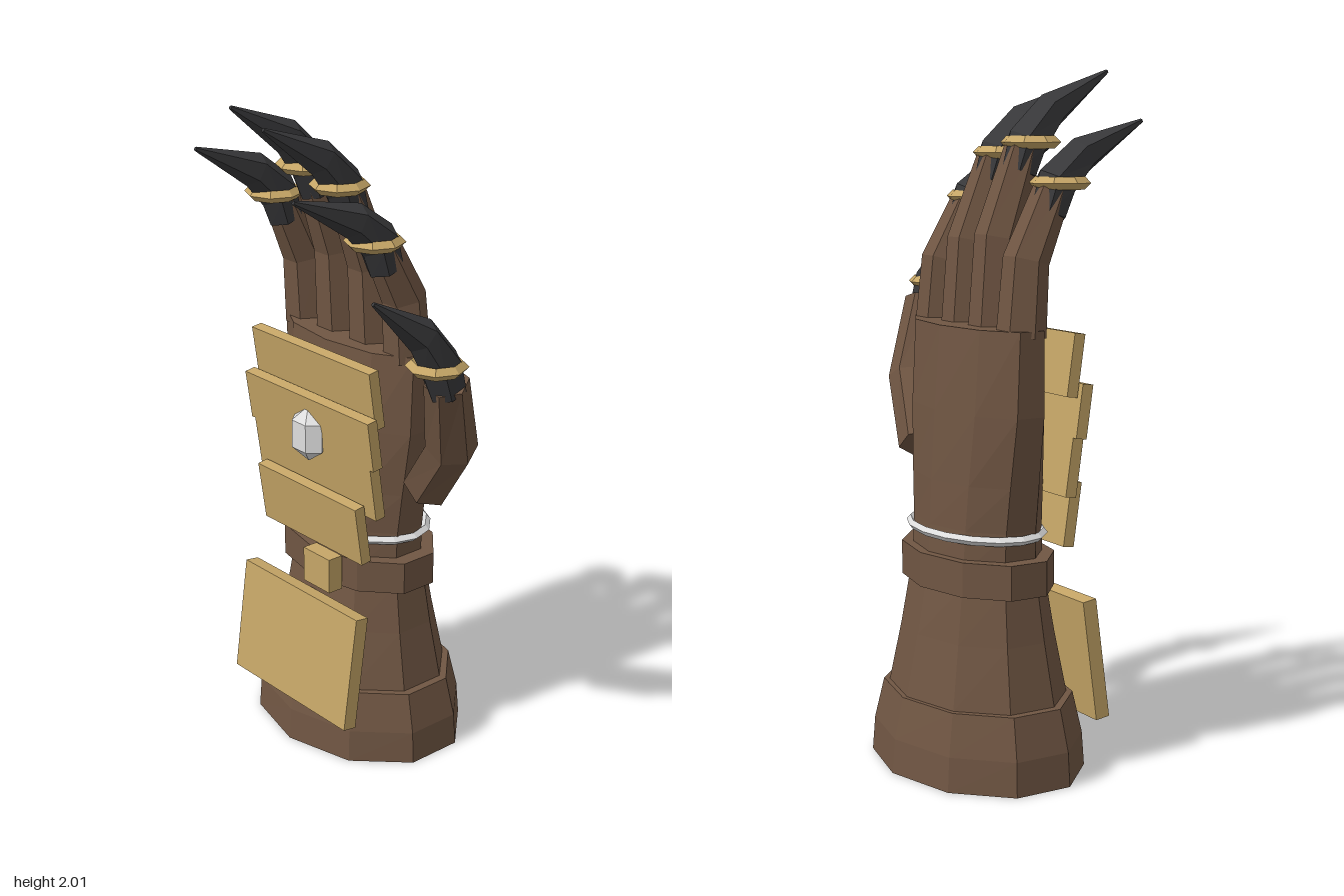
import * as THREE from 'three';

const flat = (color, name) => Object.assign(new THREE.MeshStandardMaterial({ color, flatShading: true }), { name });
const leather = flat(0x705643, 'brown leather');
const gold = flat(0xc6a667, 'gold');
const clawMat = flat(0x39393b, 'dark claw');
const silver = flat(0xdedede, 'silver');
const dark = flat(0x0a0a20, 'dark lining');

const CX = -0.13, CZ = -0.065; // axis of the forearm
const V = (x, y, z) => new THREE.Vector3(x, y, z);

// Skin closed cross-sections { c, u, v } with n sides, capping both ends
function loft(sections, n, offset = 0) {
  const pos = [], idx = [];
  for (const { c, u, v } of sections) {
    for (let i = 0; i < n; i++) {
      const a = ((i + offset) / n) * Math.PI * 2;
      const p = c.clone().addScaledVector(u, Math.sin(a)).addScaledVector(v, Math.cos(a));
      pos.push(p.x, p.y, p.z);
    }
  }
  const last = sections.length - 1;
  for (let j = 0; j < last; j++) {
    for (let i = 0; i < n; i++) {
      const a = j * n + i, b = j * n + (i + 1) % n;
      idx.push(a, a + n, b, b, a + n, b + n);
    }
  }
  for (let i = 1; i < n - 1; i++) {
    idx.push(0, i, i + 1);
    idx.push(last * n, last * n + i + 1, last * n + i);
  }
  const g = new THREE.BufferGeometry();
  g.setAttribute('position', new THREE.Float32BufferAttribute(pos, 3));
  g.setIndex(idx);
  const out = g.toNonIndexed();
  out.computeVertexNormals();
  return out;
}

// Ten-sided oval body from rows of [y, half width, half depth]
const oval = rows => loft(rows.map(([y, w, d]) => ({
  c: V(CX, y, CZ), u: V(w / 0.951, 0, 0), v: V(0, 0, -d),
})), 10);

// Six-sided limb along rows of [x, y, z, radius]
function limb(rows, offset) {
  const pts = rows.map(r => V(r[0], r[1], r[2]));
  return loft(rows.map((r, i) => {
    const t = pts[Math.min(i + 1, pts.length - 1)].clone().sub(pts[Math.max(i - 1, 0)]).normalize();
    const u = t.clone().cross(V(0, 0, 1)).normalize();
    const v = t.clone().cross(u);
    return { c: pts[i], u: u.multiplyScalar(r[3]), v: v.multiplyScalar(r[3]) };
  }), 6, offset);
}

export function createModel() {
  const model = new THREE.Group();
  model.name = 'clawedGauntlet';
  const add = (name, geo, mat, parent = model) => {
    const m = new THREE.Mesh(geo, mat);
    m.name = name;
    parent.add(m);
    return m;
  };
  const plate = (name, w, h, d, x, y, z, tilt) => {
    const m = add(name, new THREE.BoxGeometry(w, h, d), gold);
    m.position.set(x, y, z);
    m.rotation.x = tilt;
  };

  // Cuff with a recessed underside
  add('cuff', oval([
    [0.05, 0.28, 0.22], [0.04, 0.31, 0.245], [0, 0.335, 0.262],
    [0, 0.36, 0.285], [0.1, 0.354, 0.277], [0.22, 0.325, 0.25],
  ]), leather);
  add('cuffLining', oval([[0.03, 0.29, 0.225], [0.06, 0.29, 0.225]]), dark);

  // Sleeve, wrist strap and hand
  add('sleeve', oval([[0.2, 0.304, 0.24], [0.22, 0.3, 0.236], [0.4, 0.265, 0.2], [0.56, 0.24, 0.172]]), leather);
  add('wristStrap', oval([[0.54, 0.28, 0.19], [0.64, 0.28, 0.19]]), leather);
  add('hand', oval([
    [0.6, 0.232, 0.165], [0.72, 0.237, 0.158], [0.85, 0.255, 0.153],
    [1.05, 0.285, 0.142], [1.29, 0.29, 0.125],
  ]), leather);

  // Silver bracelet
  const bracelet = add('bracelet', new THREE.TorusGeometry(1, 0.06, 4, 16).rotateX(Math.PI / 2), silver);
  bracelet.scale.set(0.25, 0.22, 0.168);
  bracelet.position.set(CX, 0.7, -0.069);

  // Overlapping armour plates and the strap clasp
  plate('knucklePlate', 0.54, 0.18, 0.035, CX, 1.185, 0.094, 0.14);
  plate('upperHandPlate', 0.57, 0.155, 0.035, CX, 1.055, 0.114, 0.14);
  plate('lowerHandPlate', 0.54, 0.18, 0.035, CX, 0.9, 0.092, 0.14);
  plate('wristPlate', 0.46, 0.188, 0.035, CX, 0.752, 0.113, 0.14);
  plate('clasp', 0.12, 0.11, 0.05, -0.06, 0.595, 0.136, 0);
  plate('forearmPlate', 0.535, 0.36, 0.045, CX, 0.325, 0.174, -0.14);

  // Faceted gem
  const gem = add('gem', new THREE.SphereGeometry(1, 6, 3), silver);
  gem.scale.set(0.073, 0.087, 0.05);
  gem.position.set(CX, 1.01, 0.128);

  // Claw and gold ring, placed from the ring height and the tip height
  function tip(parent, x, ringY, ringZ, tipY, tipZ) {
    const rise = tipY - ringY, reach = tipZ - ringZ;
    add('claw', limb([
      [x, ringY - 0.085, ringZ - 0.04, 0.056],
      [x, ringY, ringZ - 0.012, 0.064],
      [x, ringY + rise * 0.45, ringZ + reach * 0.26, 0.052],
      [x, tipY, tipZ, 0.006],
    ], 0), clawMat, parent);
    const ring = add('ring', new THREE.TorusGeometry(0.07, 0.018, 4, 8).rotateX(Math.PI / 2), gold, parent);
    ring.position.set(x, ringY, ringZ);
  }

  // Four fingers: x, ring height, tip height, tip depth
  const fingers = [
    ['littleFinger', -0.355, 1.69, 1.86, 0.34],
    ['ringFinger', -0.205, 1.8, 2.0, 0.325],
    ['middleFinger', -0.055, 1.77, 1.965, 0.33],
    ['indexFinger', 0.095, 1.64, 1.8, 0.35],
  ];
  for (const [name, x, ringY, tipY, tipZ] of fingers) {
    const g = new THREE.Group();
    g.name = name;
    model.add(g);
    add('fingerSleeve', limb([
      [x, 1.27, -0.06, 0.07],
      [x, 1.27 + (ringY - 1.27) * 0.5, -0.045, 0.065],
      [x, ringY - 0.02, 0.04, 0.054],
    ], 0.5), leather, g);
    tip(g, x, ringY, 0.065, tipY, tipZ);
  }

  // Thumb
  const thumb = new THREE.Group();
  thumb.name = 'thumb';
  model.add(thumb);
  add('thumbSleeve', limb([
    [0.185, 0.895, -0.065, 0.075],
    [0.335, 1.08, -0.015, 0.076],
    [0.395, 1.31, 0.065, 0.064],
  ], 0.5), leather, thumb);
  tip(thumb, 0.395, 1.365, 0.102, 1.59, 0.33);

  return model;
}
